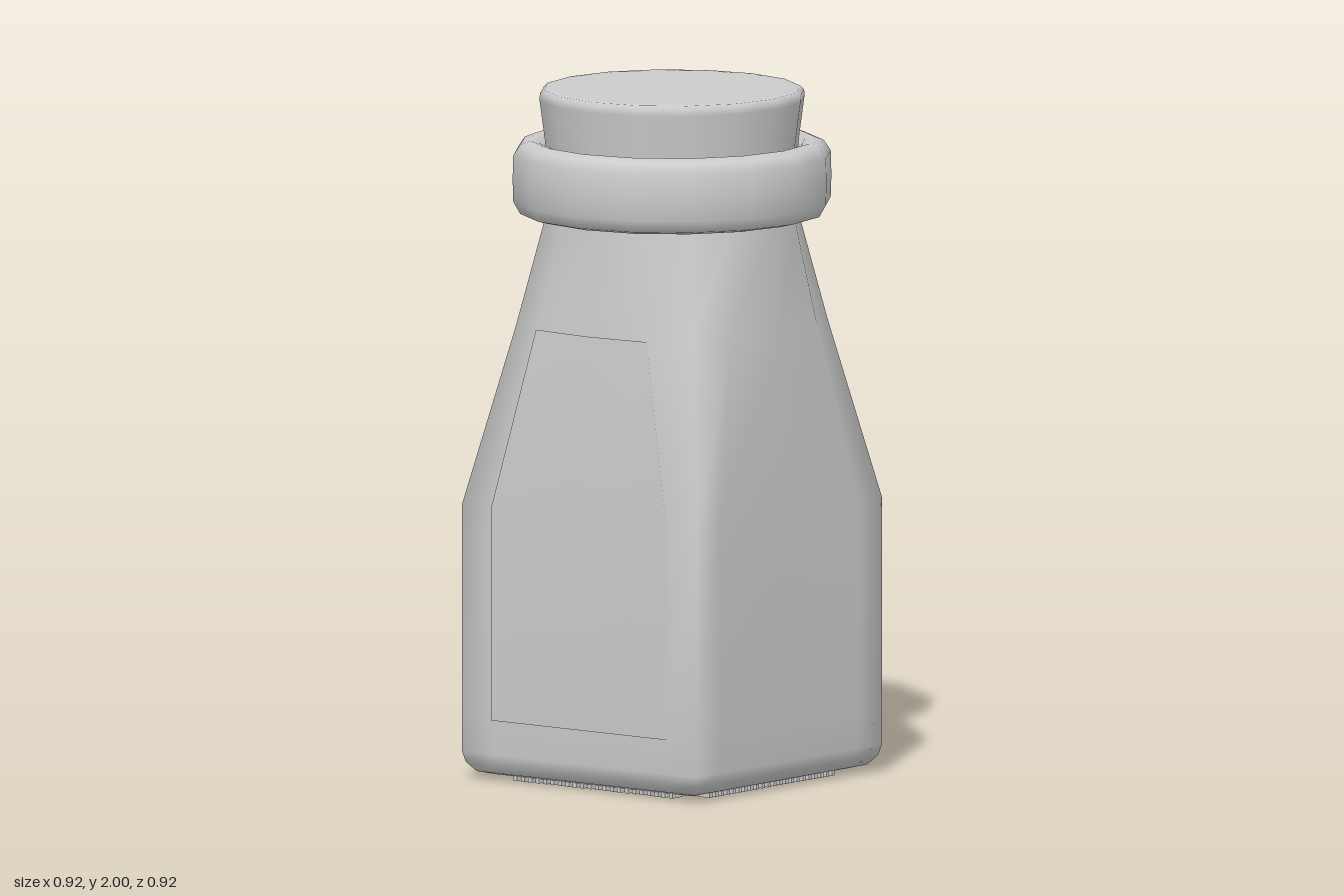
import * as THREE from 'three';

const SIDES = 16;
const material = new THREE.MeshStandardMaterial({ color: 0xcccccc, side: THREE.DoubleSide });

// Point k of a cross-section that blends from a square (t = 0) to a circle (t = 1)
function sectionPoint(k, half, t) {
  const a = (k / SIDES) * Math.PI * 2;
  const c = Math.cos(a), s = Math.sin(a), m = Math.max(Math.abs(c), Math.abs(s));
  const snap = (v) => Math.sign(v) * (Math.abs(v) < 0.1 ? 0 : Math.abs(v) < 0.9 ? 0.745 : 1);
  return [half * THREE.MathUtils.lerp(snap(c / m), c, t), half * THREE.MathUtils.lerp(snap(s / m), s, t)];
}

// Skin over rings [y, half width, roundness], from point k0 to k1
function loft(rings, k0 = 0, k1 = SIDES, offsetZ = 0) {
  const closed = k1 - k0 === SIDES;
  const n = closed ? SIDES : k1 - k0 + 1;
  const pos = [], idx = [];
  for (const [y, half, t = 0] of rings) {
    for (let k = 0; k < n; k++) {
      const [x, z] = sectionPoint(k0 + k, half, t);
      pos.push(x, y, z + offsetZ);
    }
  }
  for (let i = 0; i < rings.length - 1; i++) {
    for (let k = 0; k < k1 - k0; k++) {
      const a = i * n + k, b = i * n + ((k + 1) % n);
      idx.push(a, a + n, b, b, a + n, b + n);
    }
  }
  const g = new THREE.BufferGeometry();
  g.setAttribute('position', new THREE.Float32BufferAttribute(pos, 3));
  g.setIndex(idx);
  g.computeVertexNormals();
  return g;
}

function lathe(points) {
  return new THREE.LatheGeometry(points.map(([r, y]) => new THREE.Vector2(r, y)), SIDES);
}

export function createModel() {
  const group = new THREE.Group();
  const add = (name, geometry, parent = group) => {
    const mesh = new THREE.Mesh(geometry, material);
    mesh.name = name;
    parent.add(mesh);
    return mesh;
  };

  // Square body tapering into a round neck
  const shoulder = (y) => {
    const t = (y - 0.8) / 0.83;
    return [y, THREE.MathUtils.lerp(0.43, 0.367, t), t];
  };
  add('body', loft([
    [0.012, 0.32], [0.012, 0.36], [0.022, 0.4], [0.05, 0.423], [0.08, 0.43],
    [0.18, 0.43], [0.8, 0.43], shoulder(1.32), shoulder(1.63), [1.7, 0.36, 1],
  ]));

  // Recessed underside
  add('baseRecess', loft([[0.05, 0], [0.05, 0.265], [0.012, 0.32]]));

  // Rows of grip ridges around the recess
  const ridges = new THREE.Group();
  ridges.name = 'baseRidges';
  group.add(ridges);
  const ridgeGeometry = new THREE.BoxGeometry(0.013, 0.02, 0.045);
  for (let side = 0; side < 4; side++) {
    const row = new THREE.Group();
    row.name = 'ridgeRow';
    row.rotation.y = (side * Math.PI) / 2;
    for (let i = 0; i < 22; i++) {
      add('ridge', ridgeGeometry, row).position.set(-0.285 + (i * 0.57) / 21, 0.01, 0.345);
    }
    ridges.add(row);
  }

  // Thin label following the front face
  add('label', loft([[0.18, 0.43], [0.8, 0.43], shoulder(1.32)], 3, 5, 0.004));

  // Rounded collar around the mouth
  add('collar', lathe([
    [0.35, 1.63], [0.4, 1.63], [0.44, 1.64], [0.46, 1.675], [0.462, 1.74],
    [0.46, 1.81], [0.44, 1.84], [0.41, 1.852], [0.385, 1.845], [0.36, 1.82],
  ]));

  // Stopper, slightly wider at the top
  add('stopper', lathe([
    [0.355, 1.7], [0.368, 1.85], [0.384, 1.97], [0.383, 1.988], [0.372, 1.999], [0.34, 2], [0, 2],
  ]));

  return group;
}
